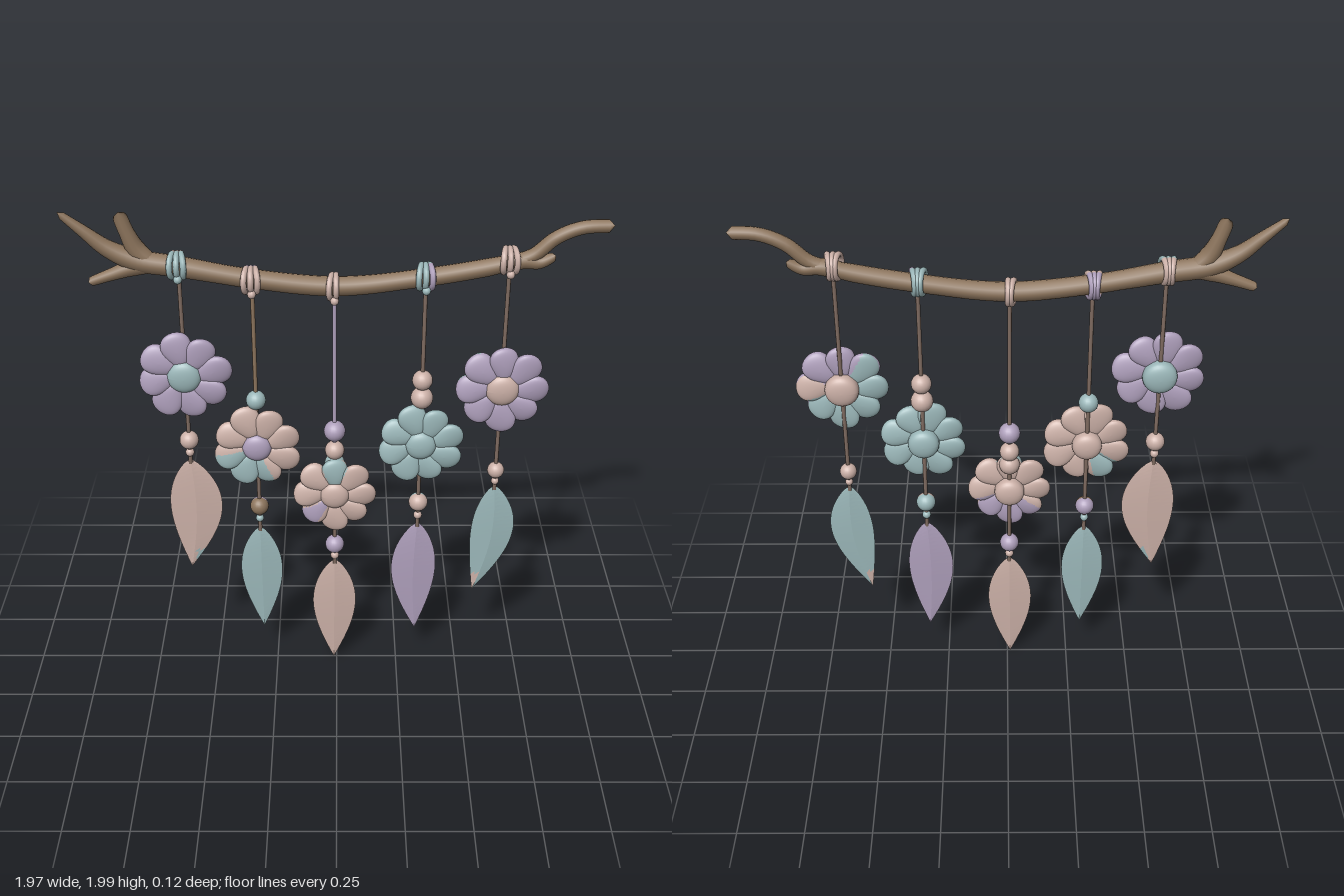
import * as THREE from 'three';
import { mergeGeometries } from 'three/addons/utils/BufferGeometryUtils.js';

const material = (name, color) => {
  const m = new THREE.MeshStandardMaterial({ color });
  m.name = name;
  return m;
};
const pink = material('dusty pink', 0xcbb0a7);
const teal = material('sage teal', 0x9bb7b9);
const purple = material('soft lilac', 0xae9fbb);
const wood = material('driftwood brown', 0x8c745c);
const cord = material('dark cord', 0x7f6b60);
const palette = [pink, teal, purple, wood, cord];

function add(parent, name, geometry, mat, x = 0, y = 0, z = 0) {
  const mesh = new THREE.Mesh(geometry, mat);
  mesh.name = name;
  mesh.position.set(x, y, z);
  parent.add(mesh);
  return mesh;
}

// Sorts triangles into one group per palette colour, chosen at each centroid
function paint(source, pick) {
  const g = source.index ? source.toNonIndexed() : source;
  g.clearGroups();
  const p = g.attributes.position;
  const buckets = palette.map(() => []);
  for (let i = 0; i < p.count; i += 3) {
    const c = [0, 1, 2].map(k => (p.getComponent(i, k) + p.getComponent(i + 1, k) + p.getComponent(i + 2, k)) / 3);
    buckets[palette.indexOf(pick(...c))].push(i, i + 1, i + 2);
  }
  g.setIndex(buckets.flat());
  let start = 0;
  buckets.forEach((b, k) => {
    if (b.length) g.addGroup(start, b.length, k);
    start += b.length;
  });
  return g;
}

// Tapered limb with rounded ends; radii are spread evenly along the path
function limb(points, radii, n = 40) {
  const curve = new THREE.CatmullRomCurve3(points.map(([x, y]) => new THREE.Vector3(x, y, 0)));
  const g = new THREE.TubeGeometry(curve, n, 1, 12);
  const p = g.attributes.position, v = new THREE.Vector3();
  const length = curve.getLength();
  for (let i = 0; i <= n; i++) {
    const t = i / n, f = t * (radii.length - 1), k = Math.min(Math.floor(f), radii.length - 2);
    let r = THREE.MathUtils.lerp(radii[k], radii[k + 1], f - k);
    const d = Math.min(t, 1 - t) * length / r;
    if (d < 1) r *= Math.sqrt(1 - (1 - d) ** 2);
    const c = curve.getPointAt(t);
    for (let j = 0; j <= 12; j++) {
      v.fromBufferAttribute(p, i * 13 + j).sub(c).multiplyScalar(r).add(c);
      p.setXYZ(i * 13 + j, v.x, v.y, v.z);
    }
  }
  return g;
}

// Sphere squashed into a rounded disc: flat faces, soft rim
function puck(rx, ry, rz, power) {
  const g = new THREE.SphereGeometry(1, 28, 20).rotateX(Math.PI / 2);
  const p = g.attributes.position;
  for (let k = 0; k < p.count; k++) {
    const z = p.getZ(k);
    p.setXYZ(k, p.getX(k) * rx, p.getY(k) * ry, Math.sign(z) * Math.abs(z) ** power * rz);
  }
  g.computeVertexNormals();
  return g;
}

// Eight soft petals, wider at the tips, with a slightly uneven outline
function petals(radius, turn) {
  const list = [];
  for (let i = 0; i < 8; i++) {
    const g = puck(1, 1, 1, 0.75);
    const p = g.attributes.position;
    const size = radius * (1 + 0.035 * Math.sin(i * 2.4 + turn * 9));
    for (let k = 0; k < p.count; k++) {
      const x = p.getX(k), y = p.getY(k), z = p.getZ(k);
      p.setXYZ(k, size * (0.6 + 0.4 * x), size * 0.335 * y * (0.92 + 0.26 * x),
        0.025 * z + 0.008 * y * (x + 0.6));
    }
    g.computeVertexNormals();
    list.push(g.rotateZ(turn + i * Math.PI / 4).translate(0, 0, 0.022));
  }
  return mergeGeometries(list);
}

// Thin ridged leaf hanging from its pointed stem end
function leaf(length, half, lean, bow, pick) {
  let g = new THREE.CylinderGeometry(1, 1, 1, 8, 28, true);
  const p = g.attributes.position;
  for (let k = 0; k < p.count; k++) {
    const x = p.getX(k), z = p.getZ(k), v = 0.5 - p.getY(k), s = Math.abs(x) + Math.abs(z);
    const w = Math.max(Math.sin(Math.PI * v ** 0.78), 0) ** 0.95;
    p.setXYZ(k, x / s * half * w + lean * v + bow * Math.sin(Math.PI * v),
      -v * length, z / s * (0.003 + 0.01 * w * (1 - 0.5 * v)));
  }
  g = g.toNonIndexed();
  g.computeVertexNormals();
  return paint(g, (x, y) => {
    const v = -y / length;
    return pick((x - lean * v - bow * Math.sin(Math.PI * v)) / half, v);
  });
}

// Hanging strands; beads are [y, radius, front, back], angles run 0 to 360 from +x
const strands = [
  { x: -0.57, top: 1.795, tilt: -0.12, wraps: [teal, teal, teal], wrapBack: pink, line: cord,
    flower: { y: 1.36, r: 0.177, turn: 0.2, core: teal, coreR: 0.066, pick: () => purple },
    beads: [[1.07, 0.037, pink, pink], [1.015, 0.017, pink, pink]],
    leaf: { y: 0.985, l: 0.51, w: 0.103, lean: -0.02, bow: 0.022, pick: (u, v) => (u > 0.12 && v > 0.84 ? teal : pink) } },
  { x: -0.307, top: 1.738, tilt: -0.14, wraps: [pink, pink, pink], wrapBack: purple, line: wood,
    flower: { y: 1.055, r: 0.171, turn: 0.35, core: purple, backCore: pink, coreR: 0.058,
      pick: (a, front) => (a > (front ? 193 : 215) && a < (front ? 295 : 258) ? teal : pink) },
    beads: [[1.245, 0.038, teal, teal], [0.768, 0.037, wood, purple], [0.71, 0.016, teal, teal]],
    leaf: { y: 0.67, l: 0.5, w: 0.084, lean: 0.004, bow: 0, pick: () => teal } },
  { x: -0.008, top: 1.712, tilt: 0, wraps: [pink, pink], wrapBack: pink, line: purple,
    flower: { y: 0.838, r: 0.163, turn: 0, core: pink, coreR: 0.059,
      pick: (a, front) => {
        if (!front) return a > 215 && a < 345 ? purple : pink;
        return a > 68 && a < 112 ? teal : a > 208 && a < 240 ? purple : pink;
      } },
    beads: [[1.11, 0.042, purple, purple], [1.025, 0.038, pink, pink], [0.965, 0.04, teal, pink],
      [0.585, 0.038, purple, purple], [0.53, 0.017, pink, pink]],
    leaf: { y: 0.51, l: 0.505, w: 0.088, lean: -0.004, bow: 0, pick: () => pink } },
  { x: 0.323, top: 1.752, tilt: 0.14, wraps: [teal, teal, purple], wrapBack: teal, line: cord,
    flower: { y: 1.065, r: 0.167, turn: 0.3, core: teal, coreR: 0.061, pick: () => teal },
    beads: [[1.33, 0.039, pink, pink], [1.255, 0.043, pink, pink], [0.787, 0.038, pink, teal], [0.725, 0.017, pink, teal]],
    leaf: { y: 0.69, l: 0.53, w: 0.09, lean: 0.002, bow: -0.012, pick: () => purple } },
  { x: 0.622, top: 1.815, tilt: 0.2, wraps: [pink, pink, pink], wrapBack: pink, line: cord,
    flower: { y: 1.305, r: 0.176, turn: 0.0, core: pink, coreR: 0.065,
      pick: (a, front) => (front || (a > 20 && a < 120) ? purple : a < 20 || a > 340 ? pink : teal) },
    beads: [[0.935, 0.033, pink, pink], [0.885, 0.015, pink, pink]],
    leaf: { y: 0.865, l: 0.505, w: 0.085, lean: -0.065, bow: 0.03, pick: (u, v) => (u < 0 && v > 0.84 ? pink : teal) } },
];

export function createModel() {
  const model = new THREE.Group();
  model.name = 'wallHanging';

  // Branch with a three-way fork on one end and a stub on the other
  const branch = new THREE.Group();
  branch.name = 'branch';
  model.add(branch);
  add(branch, 'mainBranch', limb(
    [[-0.985, 1.995], [-0.9, 1.925], [-0.82, 1.86], [-0.72, 1.815], [-0.57, 1.79], [-0.3, 1.742], [0, 1.714],
      [0.3, 1.745], [0.6, 1.8], [0.7, 1.832], [0.78, 1.9], [0.87, 1.938], [0.985, 1.945]],
    [0.012, 0.027, 0.041, 0.039, 0.036, 0.036, 0.037, 0.036, 0.034, 0.034, 0.033, 0.026, 0.025, 0.024], 100), wood);
  add(branch, 'upperFork', limb([[-0.66, 1.8], [-0.715, 1.855], [-0.745, 1.92], [-0.77, 1.995]], [0.03, 0.036, 0.028, 0.027], 24), wood);
  add(branch, 'lowerFork', limb([[-0.64, 1.8], [-0.73, 1.787], [-0.81, 1.76], [-0.898, 1.728]], [0.03, 0.032, 0.023, 0.017], 24), wood);
  add(branch, 'stub', limb([[0.58, 1.8], [0.67, 1.813], [0.73, 1.808], [0.785, 1.832]], [0.03, 0.032, 0.026, 0.016], 24), wood);

  for (const s of strands) {
    const strand = new THREE.Group();
    strand.name = 'strand';
    strand.position.x = s.x;
    model.add(strand);

    // Yarn loops tied round the branch, crossing each other
    s.wraps.forEach((m, i) => {
      const torus = new THREE.TorusGeometry(0.043, 0.0115, 8, 24);
      const loop = add(strand, 'yarnLoop', paint(torus, x => (x > 0 ? s.wrapBack : m)), palette,
        (i - (s.wraps.length - 1) / 2) * 0.017 - 0.003, s.top);
      loop.rotation.set(0, Math.PI / 2 + (i - 1) * 0.2, s.tilt * 0.5);
    });
    add(strand, 'knot', new THREE.SphereGeometry(0.016, 12, 8), s.wraps[0], 0, s.top - 0.04, 0.04);

    // Cord in two lengths, above and below the flower
    const f = s.flower, end = s.leaf.y - 0.02;
    for (const [a, b, front] of [[s.top - 0.03, f.y, s.line], [f.y, end, cord]])
      add(strand, 'cord', paint(new THREE.CylinderGeometry(0.008, 0.008, a - b, 8),
        (x, y, z) => (z > 0 ? front : cord)), palette, 0, (a + b) / 2);

    // Flower and its button, raised front and back
    const flower = new THREE.Group();
    flower.name = 'flower';
    flower.position.y = f.y;
    strand.add(flower);
    add(flower, 'petals', paint(petals(f.r, f.turn), (x, y, z) =>
      f.pick((Math.atan2(y, x) * 180 / Math.PI + 360) % 360, z > 0.018)), palette);
    add(flower, 'button', paint(puck(f.coreR, f.coreR, 0.052, 0.5),
      (x, y, z) => (z < 0 && f.backCore) || f.core), palette, 0, 0, 0.01);

    // Beads and leaf
    for (const [y, r, front, back] of s.beads)
      add(strand, 'bead', paint(new THREE.SphereGeometry(r, 20, 14), (x, h, z) => (z > 0 ? front : back)), palette, 0, y);
    const l = s.leaf;
    add(strand, 'leaf', leaf(l.l, l.w, l.lean, l.bow, l.pick), palette, 0, l.y);
  }
  return model;
}
